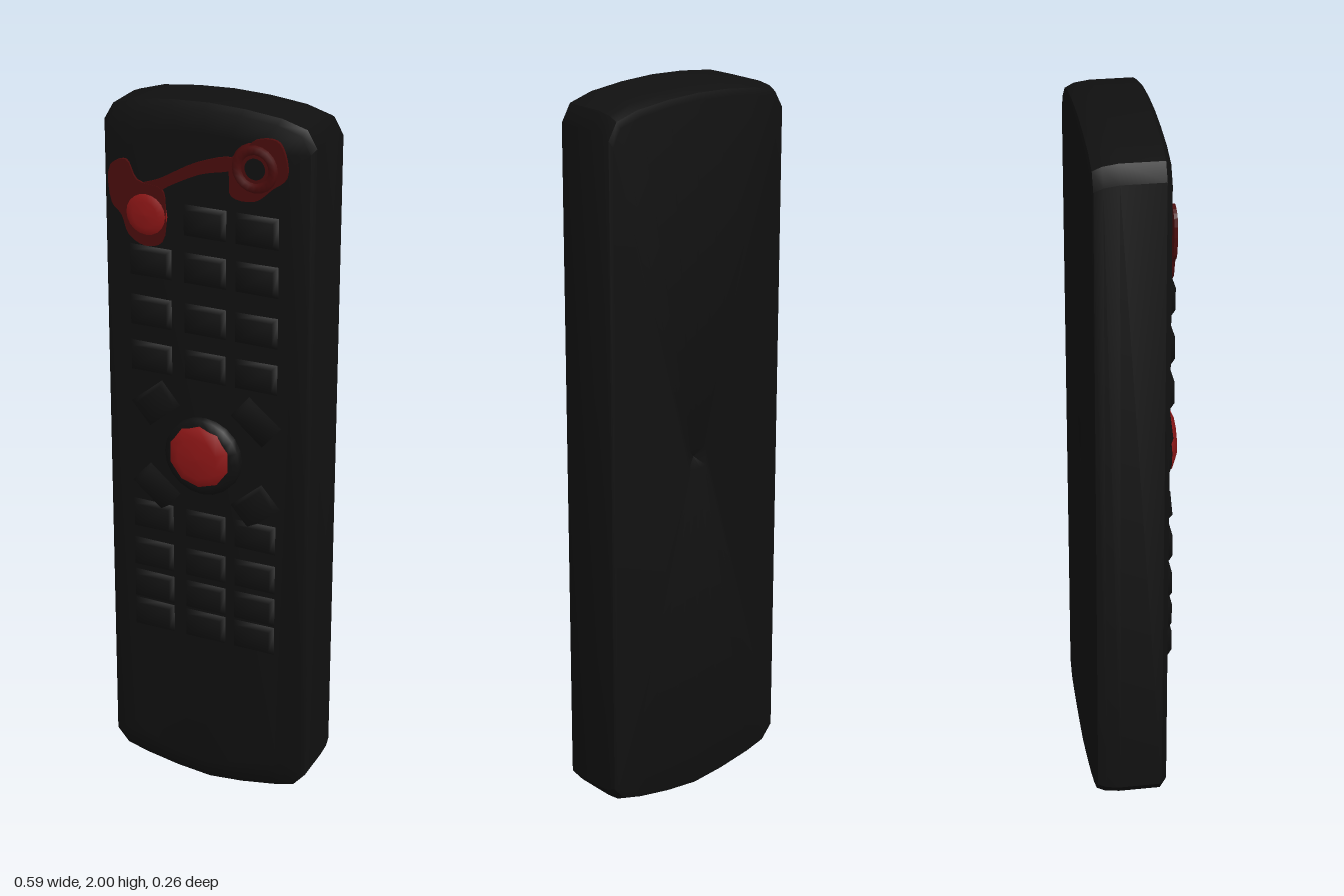
import * as THREE from 'three';
import { toCreasedNormals } from 'three/addons/utils/BufferGeometryUtils.js';

const mat = (name, color) => {
  const m = new THREE.MeshStandardMaterial({ color });
  m.name = name;
  return m;
};

// Right half of the case outline, bottom to top
const HALF = [[0.1, 0.01], [0.2, 0.028], [0.26, 0.045], [0.294, 0.085], [0.294, 1.92],
  [0.268, 1.965], [0.2, 1.985], [0.1, 1.996]];

// Case: the outline scaled at each depth, from the dent in the back to the front face
function caseGeometry() {
  const outline = [[0, 0], ...HALF, [0, 2], ...HALF.slice().reverse().map(([x, y]) => [-x, y])];
  const sections = [[-0.112, 0, 0], [-0.128, 0.1, 0.03], [-0.13, 0.96, 0.965], [-0.124, 0.99, 0.982],
    [-0.1, 1, 0.994], [-0.06, 1, 1], [0.055, 1, 1], [0.069, 0.965, 0.985], [0.079, 0.72, 0.93], [0.081, 0, 0]];
  const point = ([z, sx, sy], [x, y]) => [x * sx, 1 + (y - 1) * sy, z];
  const pos = [];
  for (let k = 0; k < sections.length - 1; k++) {
    const s = sections[k], t = sections[k + 1];
    outline.forEach((p, i) => {
      const q = outline[(i + 1) % outline.length];
      const a = point(s, p), b = point(s, q), c = point(t, q), d = point(t, p);
      if (s[1] > 0) pos.push(...a, ...b, ...c);
      if (t[1] > 0) pos.push(...a, ...c, ...d);
      else if (s[1] === 0) pos.push(...a, ...c, ...d);
    });
  }
  const g = new THREE.BufferGeometry();
  g.setAttribute('position', new THREE.Float32BufferAttribute(pos, 3));
  return toCreasedNormals(g, 0.7);
}

// Soft key: a low tapered box
function keyGeometry(w, h, d) {
  const g = new THREE.BoxGeometry(w, h, d);
  const p = g.attributes.position;
  for (let i = 0; i < p.count; i++) {
    if (p.getZ(i) > 0) p.setXY(i, p.getX(i) * 0.75, p.getY(i) * 0.65);
  }
  return toCreasedNormals(g, 1.2);
}

// Round button: a lathed profile of [radius, height] turned to face the front
function roundGeometry(profile, sides = 20) {
  const g = new THREE.LatheGeometry(profile.map(([r, h]) => new THREE.Vector2(r, h)), sides);
  return g.rotateX(Math.PI / 2);
}

// Thin plate with a rounded outline through the given points
function plateGeometry(points, depth, hole) {
  const curve = new THREE.CatmullRomCurve3(points.map(([x, y]) => new THREE.Vector3(x, y, 0)), true, 'centripetal');
  const shape = new THREE.Shape(curve.getPoints(points.length * 4).slice(0, -1).map(v => new THREE.Vector2(v.x, v.y)));
  if (hole) shape.holes.push(new THREE.Path().absarc(...hole, 0, Math.PI * 2, true));
  return new THREE.ExtrudeGeometry(shape, { depth, bevelEnabled: false });
}

export function createModel() {
  const black = mat('black plastic', 0x101010);
  const red = mat('bright red', 0x8c1616);
  const darkRed = mat('dark red', 0x4a0c0c);
  const model = new THREE.Group();
  model.name = 'remoteControl';
  const add = (name, geometry, material, x = 0, y = 0, z = 0) => {
    const mesh = new THREE.Mesh(geometry, material);
    mesh.name = name;
    mesh.position.set(x, y, z);
    model.add(mesh);
    return mesh;
  };

  add('case', caseGeometry(), black);

  // Rows of keys above and below the centre button
  const keys = keyGeometry(0.13, 0.095, 0.02);
  const columns = [-0.155, 0, 0.145];
  for (const y of [1.69, 1.56, 1.42, 1.29, 0.82, 0.7, 0.6, 0.51]) {
    for (const x of columns) {
      if (y > 1.65 && x < 0) continue;
      add('key', keys, black, x, y, 0.083);
    }
  }

  // Four direction keys round the centre button
  for (const sx of [-1, 1]) {
    for (const sy of [-1, 1]) {
      const key = add('directionKey', keys, black, sx * 0.145, 1.035 + sy * 0.125, 0.082);
      key.rotation.z = -sx * sy * 0.7;
    }
  }

  // Centre button: dark collar with a red domed cap
  add('centreCollar', roundGeometry([[0.11, 0], [0.108, 0.025], [0.085, 0.035], [0, 0.035]]), black, -0.002, 1.035, 0.075);
  add('centreButton', roundGeometry([[0.09, 0], [0.086, 0.01], [0.058, 0.022], [0, 0.024]], 10), red, -0.005, 1.04, 0.104);

  // Power button
  add('powerButton', roundGeometry([[0.06, 0], [0.055, 0.008], [0.035, 0.014], [0, 0.016]]), red, -0.165, 1.69, 0.078);

  // Red surround of the power button, joined by a strip to a ring
  add('powerSurround', plateGeometry([[-0.265, 1.81], [-0.22, 1.83], [-0.19, 1.78], [-0.12, 1.765],
    [-0.11, 1.72], [-0.12, 1.62], [-0.17, 1.605], [-0.215, 1.63], [-0.235, 1.68], [-0.262, 1.71]], 0.009),
  darkRed, 0, 0, 0.0765);
  add('strip', plateGeometry([[-0.19, 1.765], [-0.13, 1.79], [-0.02, 1.85], [0.08, 1.875],
    [0.09, 1.85], [-0.01, 1.82], [-0.1, 1.775], [-0.14, 1.75]], 0.007), darkRed, 0, 0, 0.0775);
  add('ring', plateGeometry([[0.07, 1.87], [0.11, 1.9], [0.14, 1.93], [0.2, 1.935], [0.222, 1.9],
    [0.225, 1.84], [0.19, 1.81], [0.14, 1.77], [0.075, 1.775], [0.07, 1.82]], 0.009, [0.14, 1.855, 0.028]),
  darkRed, 0, 0, 0.0765);
  const rim = add('ringRim', new THREE.TorusGeometry(0.05, 0.017, 6, 20), darkRed, 0.14, 1.855, 0.079);
  rim.scale.z = 0.9;

  return model;
}
